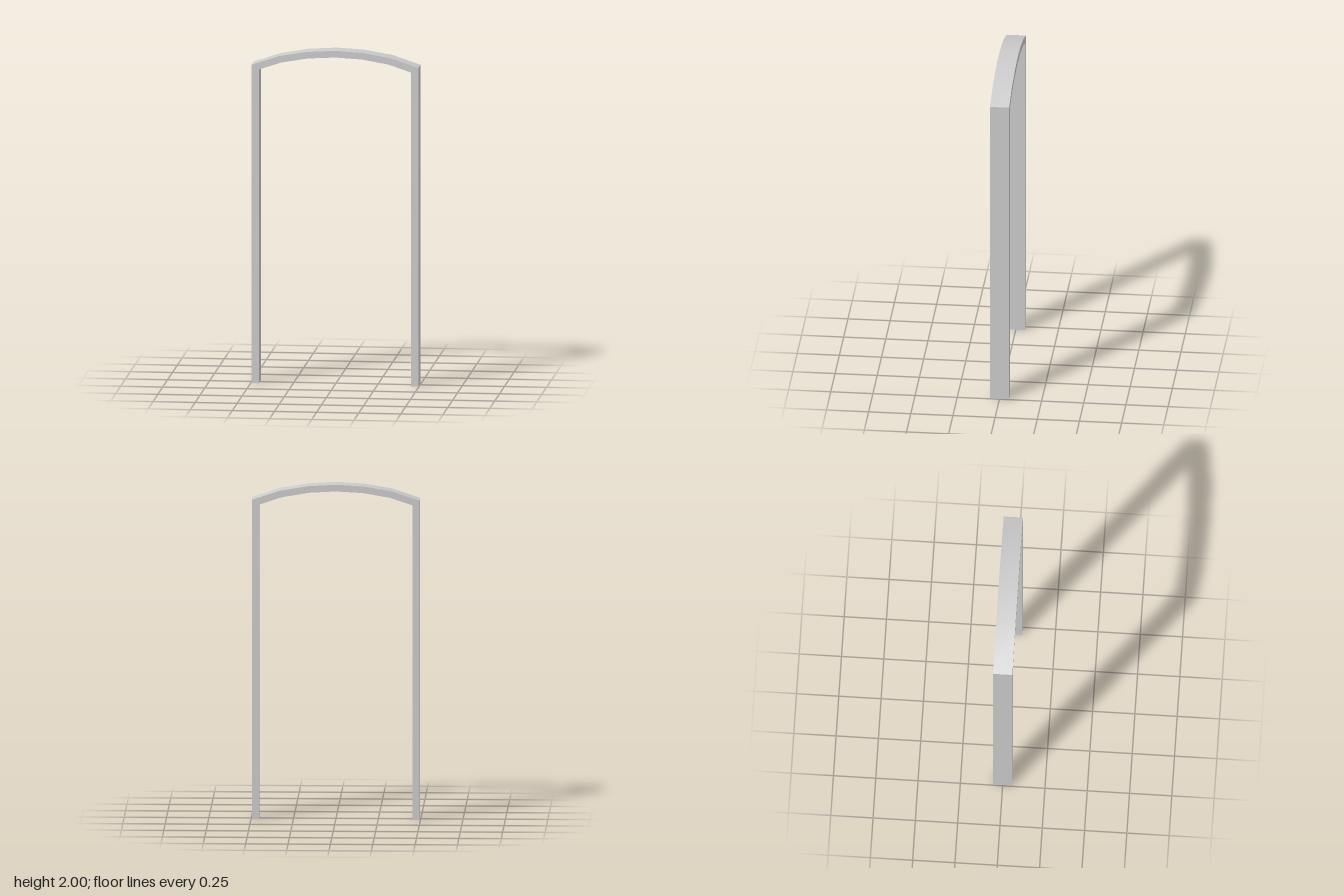
import * as THREE from 'three';
import { toCreasedNormals } from 'three/addons/utils/BufferGeometryUtils.js';

const DEPTH = 0.114;

// Right half of each edge of the frame, from the floor up to the crown
const OUTER = [[0.495, 0], [0.495, 1.907], [0.33, 1.962], [0.165, 1.99], [0, 2]];
const INNER = [[0.452, 0], [0.452, 1.879], [0.317, 1.924], [0.16, 1.951], [0, 1.96]];

// Completes a half profile with its mirror image, running from +x to -x
function mirrored(half) {
  const other = half.slice(0, -1).reverse().map(([x, y]) => [-x, y]);
  return [...half, ...other];
}

export function createModel() {
  const group = new THREE.Group();
  group.name = 'archedDoorFrame';

  // Two posts and the shallow arched head, as one continuous band
  const outline = [...mirrored(OUTER), ...mirrored(INNER).reverse()];
  const shape = new THREE.Shape(outline.map(([x, y]) => new THREE.Vector2(x, y)));
  const band = new THREE.ExtrudeGeometry(shape, { depth: DEPTH, bevelEnabled: false });
  band.translate(0, 0, -DEPTH / 2);

  // Smooth along the arch, sharp at the corners
  const frame = new THREE.Mesh(
    toCreasedNormals(band, 0.5),
    new THREE.MeshStandardMaterial({ color: 0xcccccc })
  );
  frame.name = 'frame';
  group.add(frame);
  return group;
}
